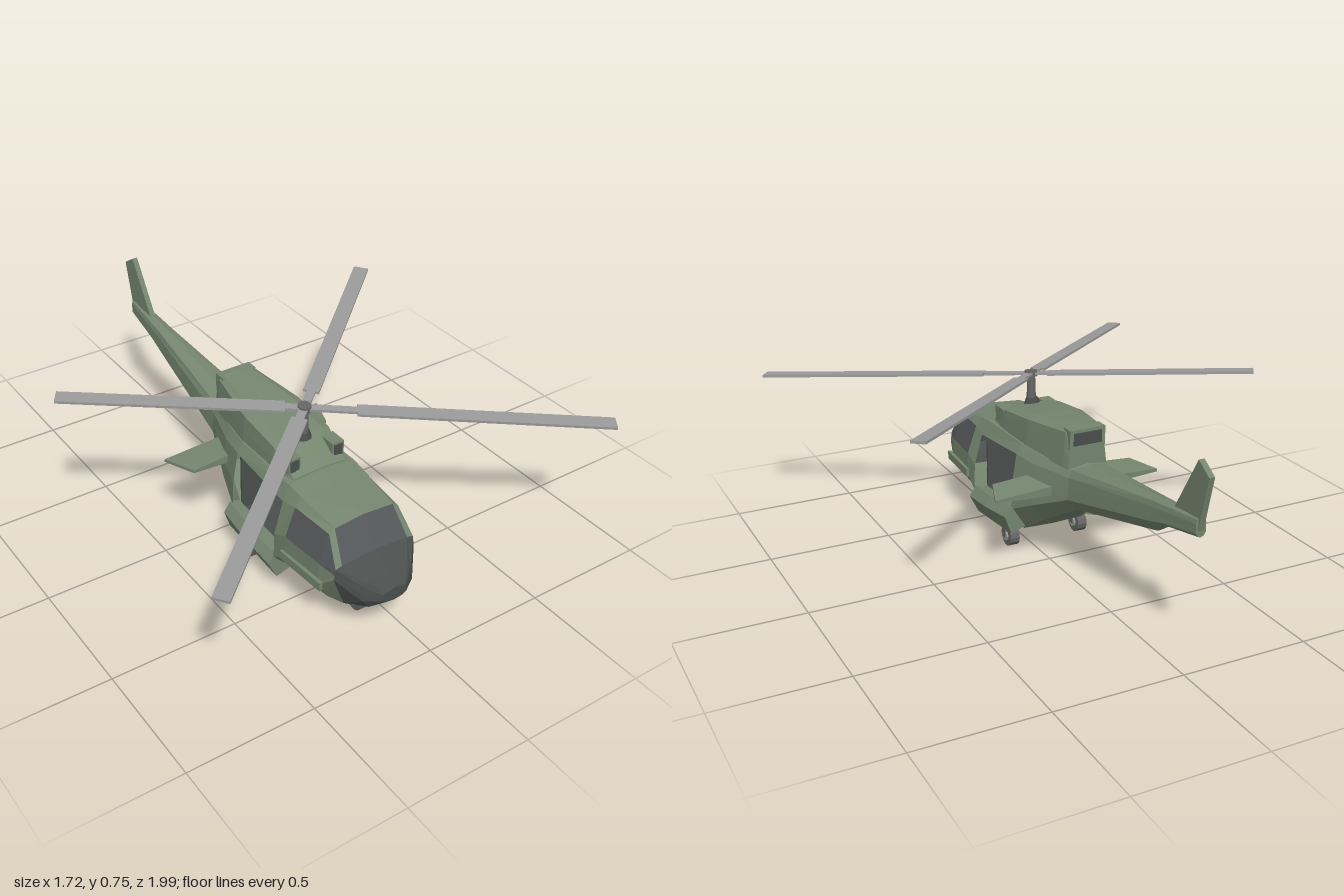
import * as THREE from 'three';

const mat = (color) => new THREE.MeshStandardMaterial({ color, flatShading: true, side: THREE.DoubleSide });
const green = mat(0x75866f), dark = mat(0x4a4e4c), glass = mat(0x55585a), metal = mat(0x9a9a9a), tyre = mat(0x666666);

// Mirrors a half section (bottom centre up to top centre) into a closed ring
const ring = (z, half) => {
  const other = half.slice(1, -1).reverse().map(([x, y]) => [-x, y]);
  return half.concat(other).map(([x, y]) => new THREE.Vector3(x, y, z));
};

// Hull section: flat belly, widest line, mid side, upper side, rounded roof edge
const hullRing = ([z, belly, bellyW, wide, wideY, upperW, upperY, top]) => ring(z, [
  [0, belly], [bellyW, belly + 0.005], [wide, wideY], [wide * 0.98, wideY + (upperY - wideY) * 0.45],
  [upperW, upperY], [upperW * 0.84, top - 0.01], [0, top],
]);

// Cowling section: upright sides, overhanging shoulder, low arched roof
const cowlRing = ([z, w, side, top]) => ring(z, [
  [0, 0.44], [w + 0.005, 0.45], [w, (0.45 + side) / 2], [w - 0.006, side], [w * 0.7, top - 0.004], [0, top],
]);

// Skins rings running from front to back; paint(i, k) gives a material, or null for an opening
function loft(name, rings, paint = () => green) {
  const buckets = new Map();
  const add = (m, ...pts) => {
    if (!buckets.has(m)) buckets.set(m, []);
    buckets.get(m).push(...pts);
  };
  const n = rings[0].length;
  for (let i = 0; i < rings.length - 1; i++) {
    for (let k = 0; k < n; k++) {
      const m = paint(i, k);
      if (!m) continue;
      const a = rings[i], b = rings[i + 1], j = (k + 1) % n;
      add(m, a[k], b[k], b[j], a[k], b[j], a[j]);
    }
  }
  const first = rings[0], last = rings[rings.length - 1];
  for (let k = 1; k < n - 1; k++) {
    add(paint(0, 0), first[0], first[k], first[k + 1]);
    add(paint(rings.length - 2, 0), last[0], last[k + 1], last[k]);
  }
  const g = new THREE.Group();
  g.name = name;
  for (const [m, pts] of buckets) {
    const geo = new THREE.BufferGeometry().setFromPoints(pts);
    geo.computeVertexNormals();
    g.add(mesh(name + (m === glass ? 'Glass' : m === dark ? 'Nose' : 'Panel'), geo, m));
  }
  return g;
}

function mesh(name, geo, m, x = 0, y = 0, z = 0) {
  const o = new THREE.Mesh(geo, m);
  o.name = name;
  o.position.set(x, y, z);
  return o;
}
const box = (name, m, w, h, d, x, y, z) => mesh(name, new THREE.BoxGeometry(w, h, d), m, x, y, z);

// Flat outline with a thickness, centred on its plane
function plate(name, pts, depth) {
  const shape = new THREE.Shape(pts.map((p) => new THREE.Vector2(...p)));
  const geo = new THREE.ExtrudeGeometry(shape, { depth, bevelEnabled: false });
  geo.translate(0, 0, -depth / 2);
  return mesh(name, geo, green);
}

function wheel(name, x, z, top) {
  const g = new THREE.Group();
  g.name = name;
  g.position.set(x, 0.045, z);
  const tread = mesh('tyre', new THREE.CylinderGeometry(0.045, 0.045, 0.04, 14), tyre);
  const hub = mesh('wheelHub', new THREE.CylinderGeometry(0.022, 0.022, 0.055, 10), metal);
  tread.rotation.z = hub.rotation.z = Math.PI / 2;
  g.add(tread, hub);
  for (const s of [-1, 1]) g.add(box('fork', tyre, 0.008, top - 0.035, 0.02, s * 0.027, (top - 0.045) / 2, 0));
  return g;
}

export function createModel() {
  const model = new THREE.Group();
  model.name = 'helicopter';
  const craft = new THREE.Group();
  craft.name = 'aircraft';
  craft.position.x = -0.075;
  model.add(craft);

  // Fuselage and tail boom: dark nose, glazed cockpit, open side doors
  const hull = [
    [0.875, 0.185, 0.035, 0.052, 0.2, 0.048, 0.228, 0.24],
    [0.835, 0.155, 0.08, 0.11, 0.2, 0.1, 0.255, 0.28],
    [0.755, 0.138, 0.13, 0.177, 0.27, 0.17, 0.312, 0.33],
    [0.685, 0.13, 0.15, 0.195, 0.21, 0.15, 0.415, 0.44],
    [0.5, 0.12, 0.16, 0.21, 0.21, 0.165, 0.42, 0.465],
    [0.43, 0.1, 0.15, 0.21, 0.167, 0.17, 0.405, 0.475],
    [0.117, 0.095, 0.13, 0.188, 0.195, 0.162, 0.427, 0.475],
    [0, 0.172, 0.1, 0.155, 0.25, 0.14, 0.42, 0.47],
    [-0.18, 0.278, 0.05, 0.09, 0.33, 0.085, 0.42, 0.46],
    [-0.69, 0.395, 0.014, 0.038, 0.44, 0.036, 0.495, 0.527],
    [-0.76, 0.44, 0.014, 0.033, 0.46, 0.032, 0.505, 0.535],
    [-0.95, 0.478, 0.012, 0.02, 0.495, 0.02, 0.53, 0.555],
  ];
  craft.add(loft('fuselage', hull.map(hullRing), (i, k) => {
    const band = Math.min(k, 11 - k);
    if (i < 2) return dark;
    if (i === 2 && band === 5) return glass;
    if ((i === 2 || i === 3) && band === 3) return glass;
    if (i === 5 && (band === 2 || band === 3)) return null;
    return green;
  }));

  // Cabin interior
  craft.add(box('cabinFloor', dark, 0.36, 0.01, 0.31, 0, 0.165, 0.273));
  for (const z of [0.428, 0.12]) craft.add(box('cabinBulkhead', dark, 0.3, 0.26, 0.008, 0, 0.295, z));

  // Engine cowling on the roof
  const cowl = [
    [0.42, 0.12, 0.47, 0.478], [0.37, 0.122, 0.5, 0.515], [0.3, 0.128, 0.545, 0.56],
    [0.1, 0.126, 0.57, 0.588], [-0.14, 0.085, 0.59, 0.608], [-0.168, 0.078, 0.53, 0.535],
  ];
  craft.add(loft('engineCowling', cowl.map(cowlRing)));
  craft.add(box('exhaustShroud', green, 0.15, 0.075, 0.05, 0, 0.565, -0.145));
  craft.add(box('exhaustOpening', dark, 0.12, 0.05, 0.006, 0, 0.565, -0.17));

  // Tail fin
  const fin = plate('tailFin', [[0.8, 0.53], [0.935, 0.752], [1, 0.71], [0.96, 0.545], [0.945, 0.48]], 0.022);
  fin.rotation.y = Math.PI / 2;
  craft.add(fin);

  for (const s of [1, -1]) {
    // Engine intakes
    craft.add(box('intake', green, 0.052, 0.062, 0.07, s * 0.096, 0.508, 0.36));
    craft.add(box('intakeOpening', dark, 0.036, 0.045, 0.006, s * 0.096, 0.508, 0.396));

    // Stabiliser, widest along its rear edge and thinning towards the tip
    const rib = (rearX, frontX, t) => [[rearX, -0.1, -t], [frontX, 0.035, 0.008 - t], [frontX, 0.035, 0.008 + t], [rearX, -0.1, t]]
      .map(([x, z, y]) => new THREE.Vector3(s * x, 0.342 + y, z));
    const wing = [rib(0.07, 0.07, 0.02), rib(0.16, 0.16, 0.016), rib(0.355, 0.305, 0.006)];
    craft.add(loft('stabiliser', s > 0 ? wing.reverse() : wing));

    // Sponson along the lower side
    const section = (z, lift, inset) => {
      const pts = [[0.12, 0.09], [0.195, 0.066], [0.232 - inset, 0.14], [0.205 - inset, 0.18], [0.15, 0.17]]
        .map(([x, y]) => new THREE.Vector3(s * x, y + lift, z));
      return s > 0 ? pts : pts.reverse();
    };
    craft.add(loft('sponson', [section(0.43, 0, 0), section(0.28, 0.012, 0), section(0.105, 0.028, 0.012)]));

    // Side step below the cockpit window
    const step = box('sideStep', green, 0.014, 0.035, 0.23, s * 0.207, 0.222, 0.6);
    step.rotation.y = s * -0.06;
    craft.add(step);

    craft.add(wheel('mainWheel', s * 0.155, 0.195, 0.13));
  }

  // Nose gear
  craft.add(wheel('noseWheel', 0, 0.67, 0.13));
  craft.add(box('noseGearHousing', dark, 0.08, 0.035, 0.16, 0, 0.115, 0.61));

  // Mast and tilted four-blade rotor
  craft.add(mesh('mast', new THREE.CylinderGeometry(0.016, 0.02, 0.14, 10), tyre, 0, 0.615, 0.312));
  craft.add(mesh('mastBase', new THREE.CylinderGeometry(0.025, 0.035, 0.03, 10), dark, 0, 0.565, 0.305));
  const rotor = new THREE.Group();
  rotor.name = 'rotor';
  rotor.position.set(0, 0.68, 0.315);
  rotor.rotation.x = 0.088;
  rotor.add(mesh('rotorHub', new THREE.CylinderGeometry(0.026, 0.026, 0.024, 10), tyre));
  // Each blade: tip position (x, z) and where the wide part starts
  for (const [x, z, start] of [[-0.738, -0.495, 0.07], [0.75, -0.668, 0.1], [0.92, 0.64, 0.19], [-0.759, 0.656, 0.07]]) {
    const len = Math.hypot(x, z);
    const blade = new THREE.Group();
    blade.name = 'rotorBlade';
    blade.rotation.y = Math.atan2(-z, x);
    blade.add(box('bladeArm', metal, start + 0.02, 0.01, 0.032, start / 2, 0, 0));
    blade.add(box('bladePanel', metal, len - start, 0.01, 0.06, (len + start) / 2, 0, 0));
    rotor.add(blade);
  }
  craft.add(rotor);
  return model;
}
